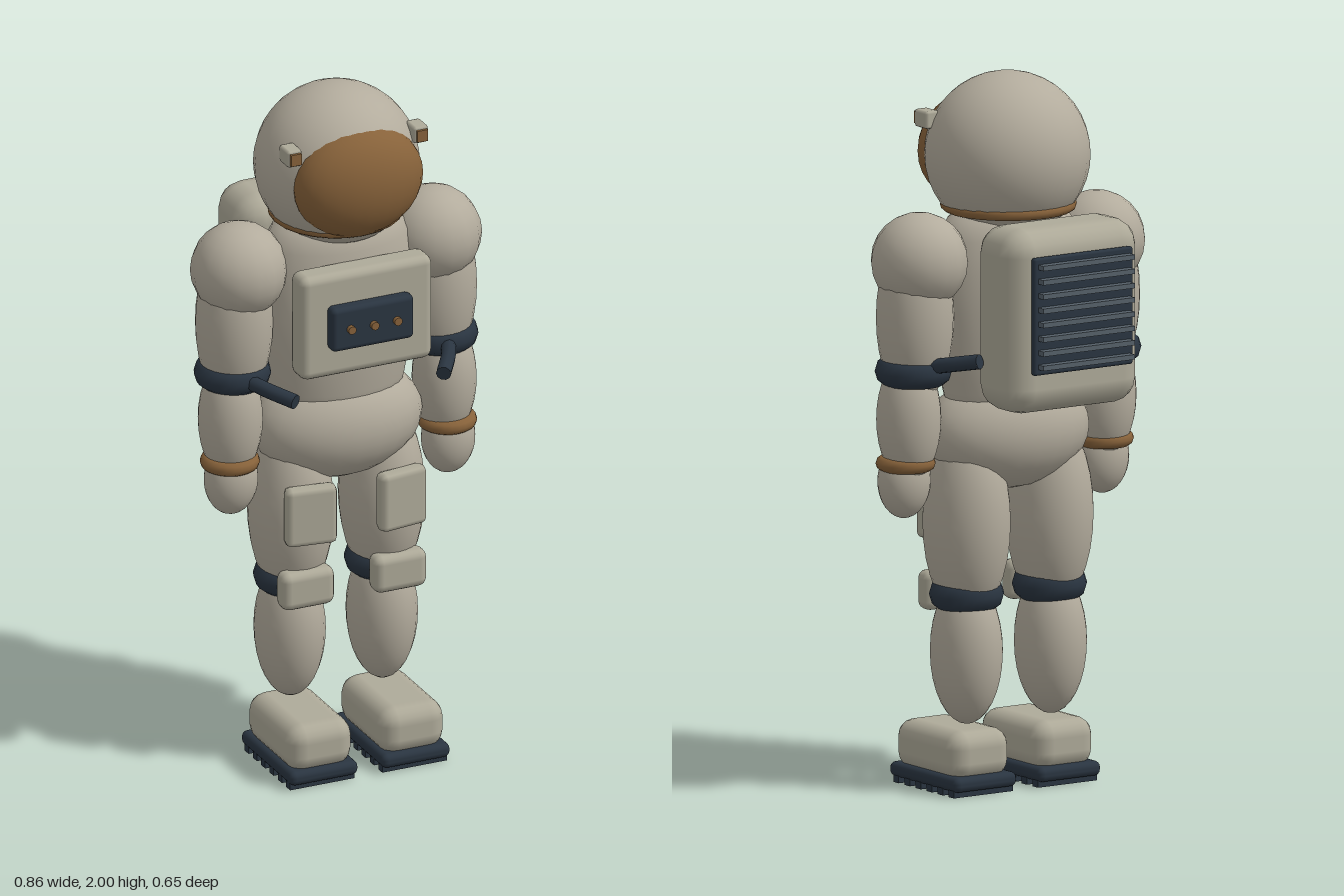
import * as THREE from 'three';
import { RoundedBoxGeometry } from 'three/addons/geometries/RoundedBoxGeometry.js';

const mat = (name, color) => Object.assign(new THREE.MeshStandardMaterial({ color }), { name });

export function createModel() {
  const suit = mat('suit fabric', 0xb3ac9d);
  const shell = mat('hard shell', 0xaeaa99);
  const dark = mat('dark rubber', 0x2a3541);
  const gold = mat('amber gold', 0x87623a);
  const finGrey = mat('radiator grey', 0x56616a);

  const model = new THREE.Group();
  model.name = 'spacesuit';

  function add(name, geometry, material, x = 0, y = 0, z = 0, parent = model) {
    const mesh = new THREE.Mesh(geometry, material);
    mesh.name = name;
    mesh.position.set(x, y, z);
    parent.add(mesh);
    return mesh;
  }
  const ellipsoid = (rx, ry, rz, w = 24, h = 16) => new THREE.SphereGeometry(1, w, h).scale(rx, ry, rz);
  const rbox = (w, h, d, r, seg = 2) => new RoundedBoxGeometry(w, h, d, seg, r);
  const box = (w, h, d) => new THREE.BoxGeometry(w, h, d);
  const ring = (R, t, sy = 1) => new THREE.TorusGeometry(R, t, 10, 24).rotateX(Math.PI / 2).scale(1, sy, 1);

  // Torso: rounded barrel, flattened front to back
  const torsoProfile = [
    [0, 1.0], [0.12, 1.01], [0.18, 1.05], [0.2, 1.12], [0.218, 1.22], [0.23, 1.35],
    [0.228, 1.46], [0.212, 1.55], [0.185, 1.6], [0.13, 1.635], [0, 1.65],
  ].map(([r, y]) => new THREE.Vector2(r, y));
  add('torso', new THREE.LatheGeometry(torsoProfile, 28).scale(1, 1, 0.65), suit, 0, 0, 0.067);
  add('pelvis', ellipsoid(0.25, 0.165, 0.165), suit, 0, 1.0, 0.07);

  // Helmet
  add('helmet', ellipsoid(0.23, 0.23, 0.23, 28, 20), suit, 0, 1.77, 0.07);
  add('visor', ellipsoid(0.192, 0.162, 0.112), gold, 0, 1.77, 0.208);
  add('neckRing', ring(0.172, 0.017), gold, 0, 1.63, 0.065);

  // Chest control pack
  add('chestPack', rbox(0.4, 0.31, 0.085, 0.025), shell, 0, 1.375, 0.233);
  add('controlPanel', rbox(0.25, 0.13, 0.045, 0.015), dark, 0, 1.375, 0.29);
  for (const x of [-0.07, 0, 0.07]) {
    add('panelButton', new THREE.CylinderGeometry(0.012, 0.012, 0.02, 10).rotateX(Math.PI / 2),
      gold, x, 1.375, 0.315);
  }

  // Life-support backpack with finned radiator
  add('backpack', rbox(0.44, 0.52, 0.215, 0.075), shell, 0, 1.36, -0.177);
  add('radiatorPlate', rbox(0.33, 0.33, 0.02, 0.008), dark, 0, 1.385, -0.295);
  for (let i = 0; i < 8; i++) {
    add('radiatorFin', box(0.305, 0.014, 0.03), finGrey, 0, 1.245 + i * 0.04, -0.315);
  }

  for (const s of [1, -1]) {
    const side = new THREE.Group();
    side.name = s > 0 ? 'leftSide' : 'rightSide';
    model.add(side);
    const put = (name, geometry, material, x, y, z) => add(name, geometry, material, s * x, y, z, side);

    // Helmet lamp
    put('lampHousing', rbox(0.044, 0.05, 0.062, 0.008, 1), shell, 0.192, 1.87, 0.182);
    put('lampLens', box(0.032, 0.034, 0.01), gold, 0.192, 1.87, 0.216);

    // Arm
    put('shoulder', ellipsoid(0.135, 0.135, 0.137, 16, 12), suit, 0.295, 1.5, 0.067);
    put('upperArm', ellipsoid(0.108, 0.25, 0.107), suit, 0.31, 1.345, 0.067);
    put('elbowCuff', ring(0.07, 0.037, 1.1), dark, 0.315, 1.195, 0.067);
    put('forearm', ellipsoid(0.09, 0.18, 0.09), suit, 0.325, 1.06, 0.075);
    put('wristRing', ring(0.062, 0.021), gold, 0.33, 0.935, 0.083);
    put('glove', ellipsoid(0.077, 0.105, 0.067), suit, 0.33, 0.885, 0.09);

    // Hose running past the elbow from pack to front
    const hosePath = new THREE.CatmullRomCurve3([
      [0.24, 1.245, -0.147], [0.29, 1.225, -0.05], [0.32, 1.2, 0.07], [0.285, 1.19, 0.19], [0.225, 1.173, 0.285],
    ].map(([x, y, z]) => new THREE.Vector3(s * x, y, z)));
    put('hose', new THREE.TubeGeometry(hosePath, 20, 0.021, 10), dark, 0, 0, 0);
    for (const t of [0, 1]) {
      const p = hosePath.getPoint(t);
      const cap = add('hoseEnd', new THREE.CircleGeometry(0.021, 10), dark, p.x, p.y, p.z, side);
      cap.lookAt(p.clone().addScaledVector(hosePath.getTangent(t), t ? 1 : -1));
    }

    // Leg
    put('thigh', ellipsoid(0.118, 0.275, 0.132), suit, 0.138, 0.755, 0.067);
    put('kneeCuff', ring(0.06, 0.044, 1.08), dark, 0.138, 0.552, 0.067);
    put('shin', ellipsoid(0.098, 0.205, 0.108), suit, 0.14, 0.392, 0.065);
    put('kneePad', rbox(0.16, 0.112, 0.065, 0.025), shell, 0.14, 0.552, 0.168);
    const pocket = put('thighPocket', rbox(0.148, 0.175, 0.05, 0.018, 1), shell, 0.138, 0.78, 0.196);
    pocket.rotation.y = s * 0.14;

    // Boot and treaded sole
    put('boot', rbox(0.196, 0.14, 0.315, 0.05), shell, 0.14, 0.11, 0.132);
    put('sole', rbox(0.207, 0.042, 0.335, 0.018), dark, 0.14, 0.036, 0.13);
    for (let i = 0; i < 6; i++) {
      put('tread', box(0.196, 0.022, 0.026), dark, 0.14, 0.011, -0.005 + i * 0.054);
    }
  }
  return model;
}
